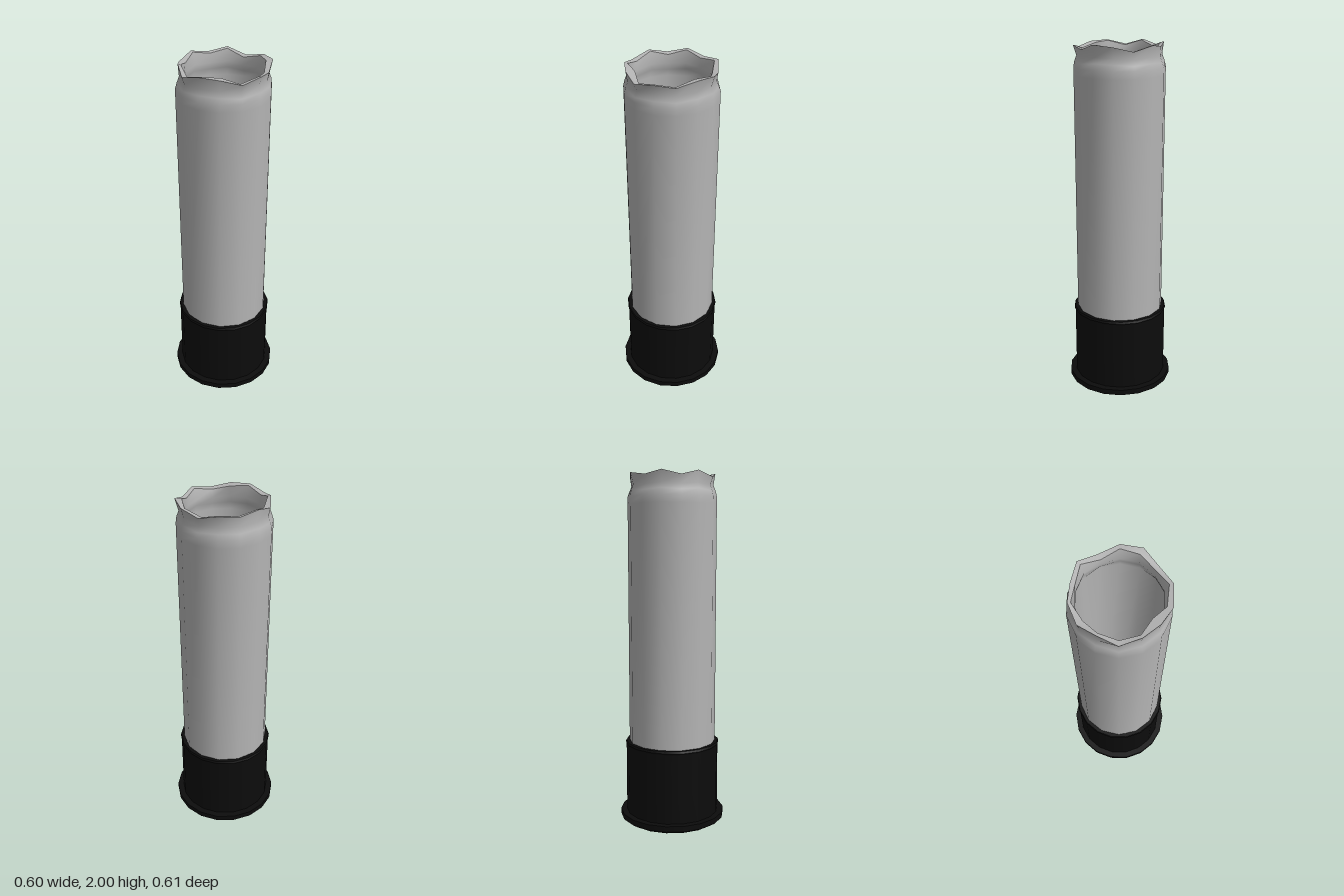
import * as THREE from 'three';

const SIDES = 14;

// Smooth strip of closed rings; each ring is a function i -> [radius, y]
function ringStrip(rings) {
  const pos = [], idx = [];
  for (const ring of rings) {
    for (let i = 0; i < SIDES; i++) {
      const a = 0.12 + (i / SIDES) * Math.PI * 2;
      const [r, y] = ring(i);
      pos.push(r * Math.sin(a), y, -r * Math.cos(a));
    }
  }
  for (let j = 0; j < rings.length - 1; j++) {
    for (let i = 0; i < SIDES; i++) {
      const n = (i + 1) % SIDES;
      const a = j * SIDES + i, b = j * SIDES + n;
      const c = a + SIDES, d = b + SIDES;
      idx.push(a, c, b, b, c, d);
    }
  }
  const g = new THREE.BufferGeometry();
  g.setAttribute('position', new THREE.Float32BufferAttribute(pos, 3));
  g.setIndex(idx);
  g.computeVertexNormals();
  return g;
}

export function createModel() {
  const model = new THREE.Group();
  const grey = new THREE.MeshStandardMaterial({ color: 0xb4b4b4 });
  grey.name = 'grey';
  const black = new THREE.MeshStandardMaterial({ color: 0x0c0c0c });
  black.name = 'black';

  const add = (name, geometry, material) => {
    const m = new THREE.Mesh(geometry, material);
    m.name = name;
    model.add(m);
    return m;
  };

  // Torn mouth: radius, height and wall thickness around the rim
  const rimR = [0.237, 0.23, 0.25, 0.234, 0.25, 0.251, 0.234, 0.25, 0.25, 0.238, 0.24, 0.247, 0.232, 0.24];
  const rimY = [2.0, 1.98, 1.995, 1.965, 1.99, 2.0, 1.968, 1.985, 1.965, 1.99, 1.995, 1.97, 2.0, 1.975];
  const wall = [0.016, 0.024, 0.022, 0.03, 0.022, 0.036, 0.025, 0.02, 0.03, 0.048, 0.018, 0.03, 0.016, 0.035];
  const flat = (r, y) => () => [r, y];
  const neck = (r, y) => i => [r + (rimR[i] - 0.24) * 0.3, y + (rimY[i] - 1.985) * 0.3];
  const rimOuter = i => [rimR[i], rimY[i]];
  const rimInner = i => [rimR[i] - wall[i], rimY[i] - 0.004];

  // Casing tube: outside, torn lip, inside, floor
  add('tubeOuter', ringStrip([
    flat(0.25, 0.44), flat(0.25, 1.83), flat(0.25, 1.87), neck(0.242, 1.9), neck(0.23, 1.93), rimOuter,
  ]), grey);
  add('tubeLip', ringStrip([rimOuter, rimInner]), grey);
  add('tubeInner', ringStrip([
    rimInner, neck(0.206, 1.925), neck(0.214, 1.89), flat(0.225, 1.85), flat(0.225, 0.3),
  ]), grey);
  add('tubeFloor', ringStrip([flat(0.225, 0.3), flat(0, 0.3)]), grey);

  // Head with rolled top edge and bottom flange
  const profile = [
    [0, 0.004], [0.275, 0.004], [0.275, 0.004], [0.303, 0.022], [0.303, 0.022],
    [0.303, 0.054], [0.303, 0.054], [0.268, 0.054], [0.268, 0.054], [0.268, 0.455],
    [0.268, 0.455], [0.273, 0.464], [0.273, 0.464], [0.268, 0.475], [0.268, 0.475], [0.246, 0.475],
  ].map(([r, y]) => new THREE.Vector2(r, y));
  add('head', new THREE.LatheGeometry(profile, 18), black);

  // Struck primer mark on the underside
  const primer = add('primerMark', new THREE.CylinderGeometry(0.02, 0.02, 0.006, 7), grey);
  primer.position.set(0.02, 0.003, -0.02);

  return model;
}
